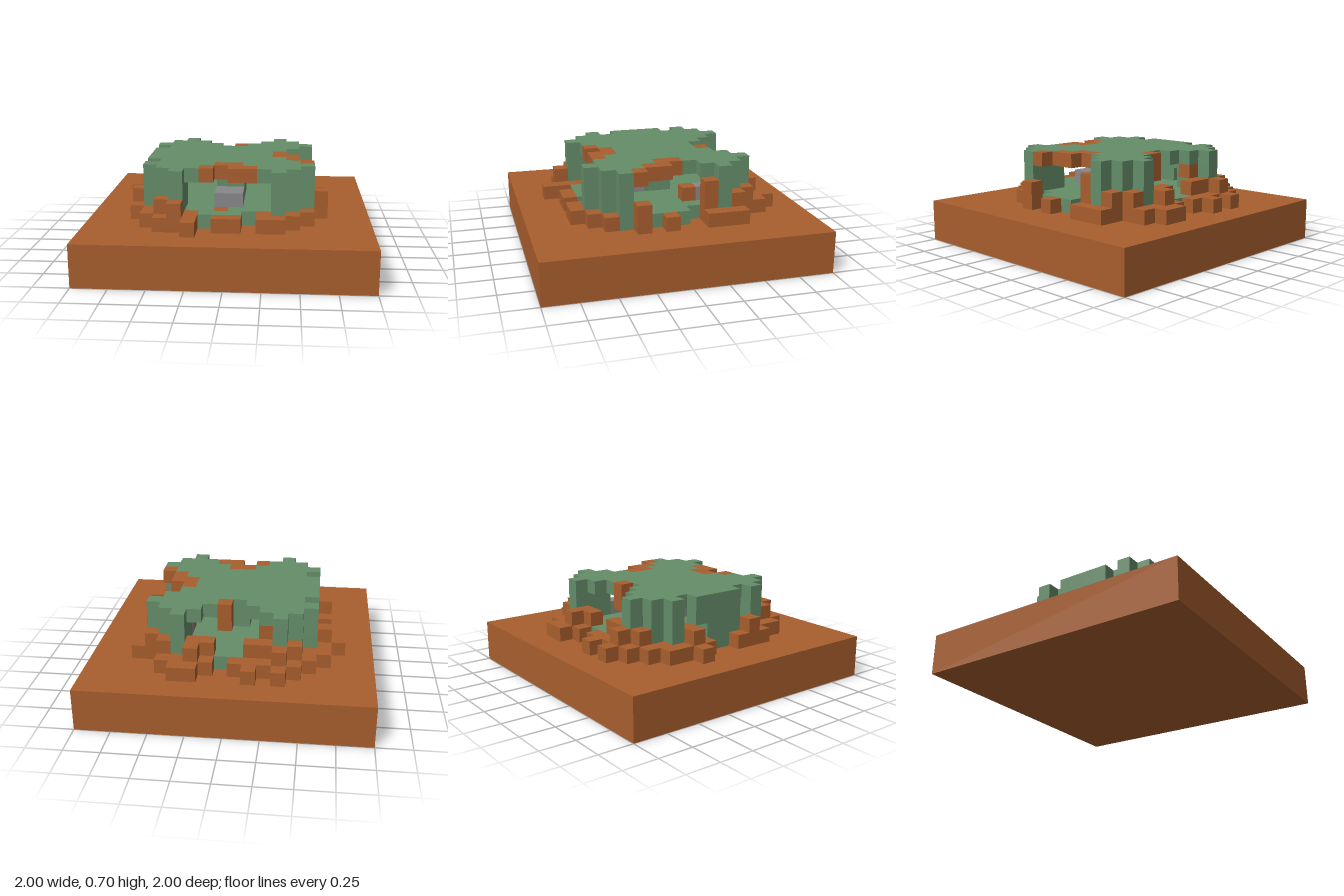
import * as THREE from 'three';
import { mergeGeometries } from 'three/addons/utils/BufferGeometryUtils.js';

const CELL = 0.1;

// Plan of each storey, back to front; b = earth, g = grass, s = stone
const LAYERS = [
  { name: 'groundRubble', y: 0.3, z: -0.8, rows: [
    '....b.b...bb....',
    '...bbbbb.bbbb...',
    '..bbgbbggbbgb...',
    '.bbggggggggggbb.',
    '.bggggggggggggb.',
    'bbbggggggggggbb.',
    '.bggggggggggg...',
    '..gggggggggggg..',
    '..ggggggggggggb.',
    '.bgggggggggggg..',
    '.bbgggggggggg.b.',
    '.bgggggggggggg..',
    '..bggggbgggggb..',
    '..bbgbggg.bgb...',
    '...bbb.bb.bb....',
    '.....b..........'] },
  { name: 'lowerPillars', y: 0.4, z: -0.7, rows: [
    '....b.....b.....',
    '...bgbb..bbgb...',
    '...gg......ggb..',
    '..ggg......ggg..',
    '.bb........s.b..',
    '...........b....',
    '..g....gg.......',
    '..g....gg.......',
    '..g....ss.......',
    '.b.....ss.....b.',
    '..ggg..ss..ggg..',
    '...gg......gg...',
    '...bg......g....',
    '....b...........'] },
  { name: 'upperPillars', y: 0.5, z: -0.6, rows: [
    '....g......g....',
    '...ggb.....gg...',
    '..ggg...b..ggg..',
    '.............b..',
    '..g....gg.......',
    '..g....gg.......',
    '..g....gg.......',
    '..g....gg.......',
    '................',
    '..ggg......ggg..',
    '...gg......gg...',
    '....g......g....'] },
  { name: 'roof', y: 0.6, z: -0.6, rows: [
    '....g......g....',
    '...ggg....ggg...',
    '..ggggg.bggggg..',
    '...gggggggggg...',
    '..gggggggggg....',
    '..gggggggggb....',
    '..gggggggggbb...',
    '..ggggggggggb...',
    '...ggggggggggb..',
    '..gggggbbggggg..',
    '...gggb.bbggg...',
    '....g......g....'] },
];

export function createModel() {
  const model = new THREE.Group();
  model.name = 'blockIsland';
  const material = (name, color) => {
    const m = new THREE.MeshStandardMaterial({ color });
    m.name = name;
    return m;
  };
  const kinds = {
    b: ['Earth', material('earth brown', 0xa85e2d)],
    g: ['Grass', material('mossy green', 0x658d69)],
    s: ['Stone', material('stone grey', 0x88888a)],
  };

  // Ground slab
  const slab = new THREE.Mesh(new THREE.BoxGeometry(2, 0.3, 2), kinds.b[1]);
  slab.name = 'groundSlab';
  slab.position.y = 0.15;
  model.add(slab);

  // Storeys: every run of equal cells becomes one block
  for (const { name, y, z, rows } of LAYERS) {
    for (const [key, [label, mat]] of Object.entries(kinds)) {
      const blocks = [];
      rows.forEach((row, r) => {
        for (const run of row.matchAll(new RegExp(key + '+', 'g'))) {
          const n = run[0].length;
          const box = new THREE.BoxGeometry(n * CELL, CELL, CELL);
          box.translate(-0.8 + (run.index + n / 2) * CELL, y + CELL / 2, z + (r + 0.5) * CELL);
          blocks.push(box);
        }
      });
      if (!blocks.length) continue;
      const mesh = new THREE.Mesh(mergeGeometries(blocks), mat);
      mesh.name = name + label;
      model.add(mesh);
    }
  }
  return model;
}
